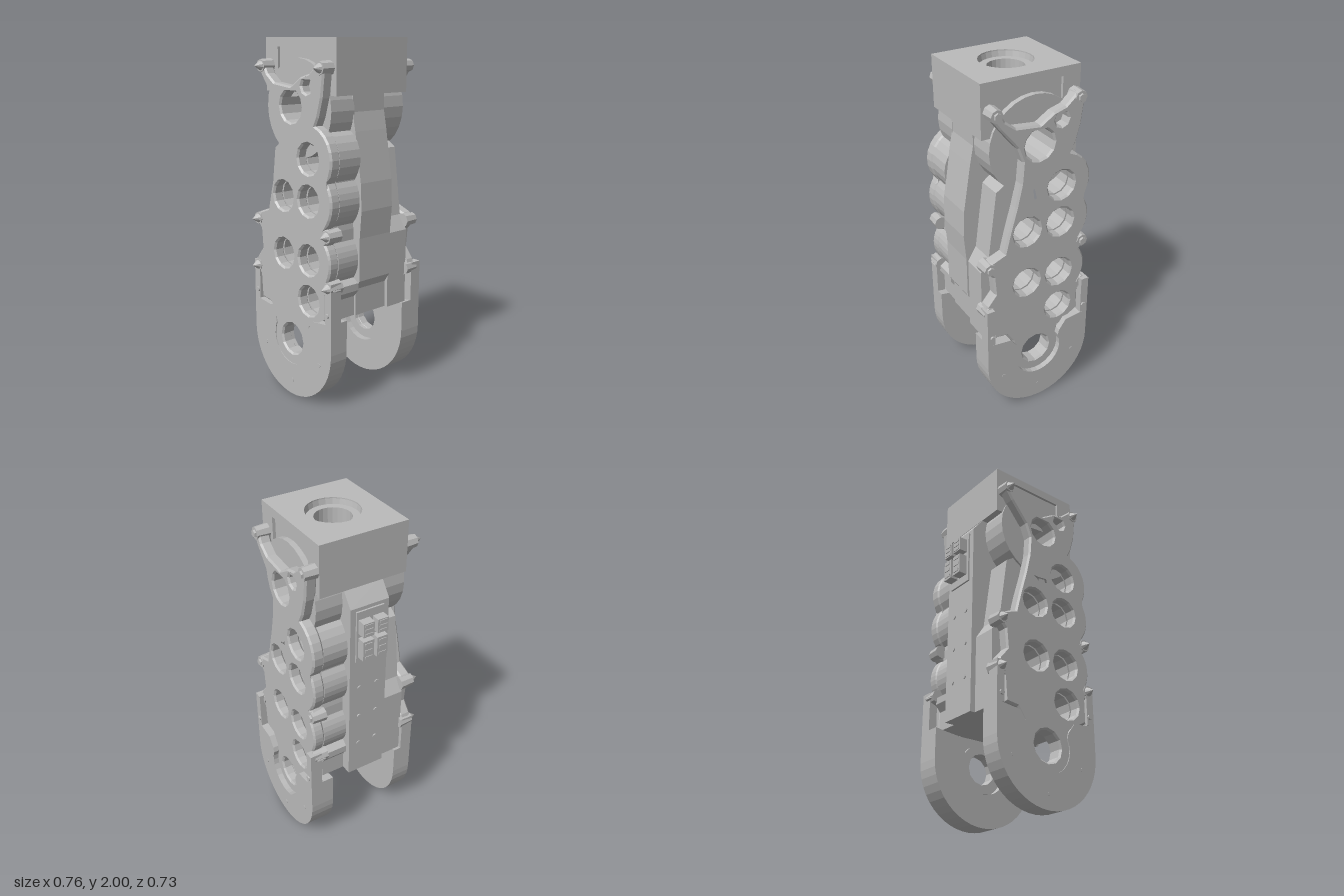
import * as THREE from 'three';

const CX = 0.025; // axis shared by the two housing halves
const castGrey = new THREE.MeshStandardMaterial({ color: 0xbababa });
castGrey.name = 'castGrey';

// Faceted normals for round parts
function faceted(geo) {
  const g = geo.index ? geo.toNonIndexed() : geo;
  g.computeVertexNormals();
  return g;
}

function add(parent, name, geo, x = 0, y = 0, z = 0) {
  const mesh = new THREE.Mesh(geo, castGrey);
  mesh.name = name;
  mesh.position.set(x, y, z);
  parent.add(mesh);
  return mesh;
}

function box(parent, name, x0, x1, y0, y1, z0, z1) {
  return add(parent, name, new THREE.BoxGeometry(x1 - x0, y1 - y0, z1 - z0),
    (x0 + x1) / 2, (y0 + y1) / 2, (z0 + z1) / 2);
}

// Points on an arc, angles in degrees
function arc(cx, cy, r, a0, a1, n = 8) {
  return Array.from({ length: n + 1 }, (_, i) => {
    const a = THREE.MathUtils.degToRad(a0 + (a1 - a0) * i / n);
    return [cx + r * Math.cos(a), cy + r * Math.sin(a)];
  });
}
const circle = (x, y, r, n = 12) => arc(x, y, r, 0, 360 * (n - 1) / n, n - 1);
const vectors = pts => pts.map(p => new THREE.Vector2(p[0], p[1]));

// Flat outline with holes, extruded from z0 to z1
function slab(parent, name, outline, holes, z0, z1, bevel = 0) {
  const shape = new THREE.Shape(vectors(outline));
  holes.forEach(h => shape.holes.push(new THREE.Path(vectors(h))));
  const geo = new THREE.ExtrudeGeometry(shape, {
    depth: z1 - z0 - 2 * bevel, bevelEnabled: bevel > 0,
    bevelThickness: bevel, bevelSize: bevel, bevelOffset: -bevel, bevelSegments: 1,
  });
  return add(parent, name, geo, 0, 0, z0 + bevel);
}

// Round part pointing along z
function peg(parent, name, x, y, z0, z1, rFront, rBack, sides = 8) {
  const geo = new THREE.CylinderGeometry(rFront, rBack, z1 - z0, sides);
  geo.rotateX(Math.PI / 2);
  return add(parent, name, faceted(geo), x, y, (z0 + z1) / 2);
}

const gearHoles = [
  [0.17, 1.38], [-0.04, 1.155], [0.17, 1.155], [-0.04, 0.83], [0.17, 0.83], [0.17, 0.6],
].map(([x, y]) => circle(x, y, 0.083));
const motorHole = circle(0.03, 1.645, 0.087);
const slot = [[-0.01, 1.51], [0.06, 1.5], [0.03, 1.42], [0.06, 1.3], [0, 1.28], [-0.06, 1.32], [-0.04, 1.42]];
const posts = [[-0.22, 1.85], [0.27, 1.85], [-0.27, 0.99], [0.32, 0.99], [-0.28, 0.71], [0.33, 0.71]];

// Scalloped edge that wraps the gear bores
const scallops = r => [
  ...arc(0.17, 1.38, r, 72, -38), ...arc(0.17, 1.155, r, 38, -45),
];

// One housing half: cover plate, fork leg, gear case and motor disc
function buildHalf(name, forkZ, spikes) {
  const half = new THREE.Group();
  half.name = name;

  const plate = [
    [-0.21, 1.88], [-0.17, 1.81], [-0.11, 1.765], [0.03, 1.75], [0.11, 1.8], [0.18, 1.82], [0.25, 1.88],
    [0.3, 1.86], [0.29, 1.78], [0.28, 1.7], [0.25, 1.6],
    ...scallops(0.185),
    [0.32, 1.03], [0.355, 0.99], [0.32, 0.95],
    ...arc(0.17, 0.83, 0.175, 38, -30),
    [0.35, 0.74], [0.37, 0.7], [0.31, 0.66], [0.31, 0.52], [0.22, 0.51], [0.18, 0.45],
    ...arc(CX, 0.34, 0.16, 25, -205, 16),
    [-0.13, 0.45], [-0.17, 0.51], [-0.25, 0.52], [-0.26, 0.66], [-0.31, 0.7], [-0.29, 0.76],
    [-0.24, 0.82], [-0.25, 0.93], [-0.3, 0.99], [-0.26, 1.03], [-0.18, 1.06],
    [-0.15, 1.18], [-0.11, 1.32], [-0.08, 1.45], [-0.07, 1.57], [-0.1, 1.65], [-0.2, 1.77], [-0.25, 1.84],
  ];
  slab(half, 'coverPlate', plate,
    [...gearHoles, motorHole, slot, circle(0.16, 1.755, 0.04, 8), circle(CX, 0.34, 0.088)], 0.25, 0.317, 0.01);

  // Rim around the axle bore
  slab(half, 'axleRim', circle(CX, 0.34, 0.14, 20), [circle(CX, 0.34, 0.09)], 0.235, 0.3);

  // Rounded leg with a socket for the tongue of the plate
  const fork = [
    [-0.31, 0.515], ...arc(CX, 0.34, 0.335, 180, 360, 24), [0.36, 0.515],
    [0.3, 0.505], [0.212, 0.495], [0.168, 0.435],
    ...arc(CX, 0.34, 0.148, 25, -205, 16), [-0.118, 0.435], [-0.162, 0.495], [-0.25, 0.505],
  ];
  slab(half, 'forkLeg', fork, [], 0.208, forkZ);
  // Straps that tie the leg to the case
  box(half, 'legStrap', -0.31, -0.262, 0.51, 0.74, forkZ - 0.07, forkZ);
  box(half, 'legStrap', 0.312, 0.36, 0.51, 0.74, forkZ - 0.07, forkZ);
  for (const a of [200, 270, 340]) {
    const [[x, y]] = arc(CX, 0.34, 0.25, a, a, 1);
    peg(half, 'legScrew', x, y, forkZ - 0.01, forkZ + 0.002, 0.013, 0.013);
  }

  // Gear case behind the plate
  const gearCase = [
    [-0.1, 1.72], [0.28, 1.72], [0.27, 1.62], [0.24, 1.56],
    ...scallops(0.178),
    [0.3, 1.0], ...arc(0.17, 0.83, 0.17, 40, -38),
    [0.34, 0.7], [0.34, 0.66], [0.31, 0.62], [0.31, 0.51],
    [-0.29, 0.51], [-0.29, 0.94], [-0.24, 1.02], [-0.19, 1.4], [-0.1, 1.46],
  ];
  slab(half, 'gearCase', gearCase, [...gearHoles, motorHole, slot], 0.105, 0.25);

  // Motor disc at the top
  slab(half, 'motorDisc', circle(0.03, 1.63, 0.265, 28), [motorHole], 0.1, 0.262);

  // Corner posts with pointed bolts or flat nuts
  for (const [x, y] of posts) {
    peg(half, 'post', x, y, 0.24, 0.322, 0.035, 0.04);
    if (spikes) peg(half, 'pointedBolt', x, y, 0.32, 0.362, 0, 0.028, 10);
    else peg(half, 'nut', x, y, 0.32, 0.333, 0.02, 0.022, 6);
  }
  for (const x of [-0.28, 0.33]) peg(half, 'smallScrew', x, 0.56, forkZ - 0.01, forkZ + 0.008, 0.014, 0.016);
  return half;
}

export function createModel() {
  const model = new THREE.Group();
  model.name = 'gearHousing';

  model.add(buildHalf('frontHalf', 0.322, true));
  const back = buildHalf('backHalf', 0.35, false);
  back.rotation.y = Math.PI;
  back.position.set(2 * CX, 0, -0.014);
  model.add(back);

  // Hollow spine between the halves
  const spine = [
    [-0.25, 1.72], [0.29, 1.72], [0.29, 1.62], [0.31, 1.52], [0.355, 1.25], [0.362, 1.1], [0.35, 0.95], [0.35, 0.71],
    [0.32, 0.66], [0.32, 0.51], [-0.32, 0.51], [-0.32, 1.63],
  ];
  const cavity = [
    [0, 1.69], [0.06, 1.69], [0.06, 1.48], [0.22, 1.44], [0.24, 1.3], [0.24, 0.56],
    [-0.19, 0.56], [-0.19, 1.3], [-0.09, 1.42], [0, 1.48],
  ];
  slab(model, 'spine', spine, [cavity], -0.122, 0.108);

  // Top block: drilled core with recessed front and back faces
  const top = new THREE.Group();
  top.name = 'topBlock';
  model.add(top);
  const x0 = -0.26, x1 = 0.32;
  const core = slab(top, 'core', [[x0, -0.235], [x1, -0.235], [x1, 0.245], [x0, 0.245]],
    [circle(0.028, 0.01, 0.146, 24)], 0, 0.15);
  core.rotation.x = -Math.PI / 2;
  core.position.y = 1.85;
  box(top, 'coreBase', x0, x1, 1.71, 1.85, -0.245, 0.235);
  const face = [[x0, 1.71], [x1, 1.71], [x1, 2], [x0, 2]];
  const recess = [[-0.155, 1.76], [0.21, 1.76], [0.21, 1.95], [-0.155, 1.95]];
  slab(top, 'frontFace', face, [recess], 0.234, 0.25);
  slab(top, 'backFace', face, [recess], -0.262, -0.244);

  // Stepped socket with a cross and four bolts on its floor
  const socket = new THREE.LatheGeometry(
    vectors([[0.147, 1.999], [0.14, 1.965], [0.1, 1.965], [0.1, 1.87], [0, 1.87]]), 24);
  add(top, 'socket', faceted(socket), 0.028, 0, -0.01);
  box(top, 'crossBar', -0.07, 0.126, 1.86, 1.876, -0.045, 0.025);
  box(top, 'crossBar', -0.005, 0.061, 1.86, 1.877, -0.085, 0.065);
  for (const x of [-0.02, 0.078]) for (const z of [-0.058, 0.04]) {
    add(top, 'socketBolt', faceted(new THREE.CylinderGeometry(0.012, 0.012, 0.02, 8)), x, 1.88, z);
  }

  // Cable connectors on the flat side
  box(model, 'connectorBase', -0.33, -0.318, 1.3, 1.61, -0.09, 0.075);
  for (const [z0, z1] of [[-0.083, -0.018], [0.002, 0.066]]) {
    for (const [y0, y1] of [[1.34, 1.46], [1.487, 1.568]]) {
      box(model, 'connectorNeck', -0.345, -0.325, y0 + 0.008, y1 - 0.008, z0 + 0.008, z1 - 0.008);
      box(model, 'connectorCap', -0.384, -0.335, y0, y1, z0, z1);
      for (let i = 0; i < 3; i++) {
        const y = y0 + (y1 - y0) * (i + 0.5) / 3;
        box(model, 'connectorRib', -0.388, -0.383, y - 0.007, y + 0.007, z0 + 0.01, z1 - 0.01);
      }
    }
  }
  // Small screws on the flat side
  for (const y of [0.72, 0.92, 1.12]) for (const z of [-0.06, 0.05]) {
    const geo = new THREE.CylinderGeometry(0.013, 0.013, 0.012, 8);
    geo.rotateZ(Math.PI / 2);
    add(model, 'sideScrew', faceted(geo), -0.32, y, z);
  }
  return model;
}
